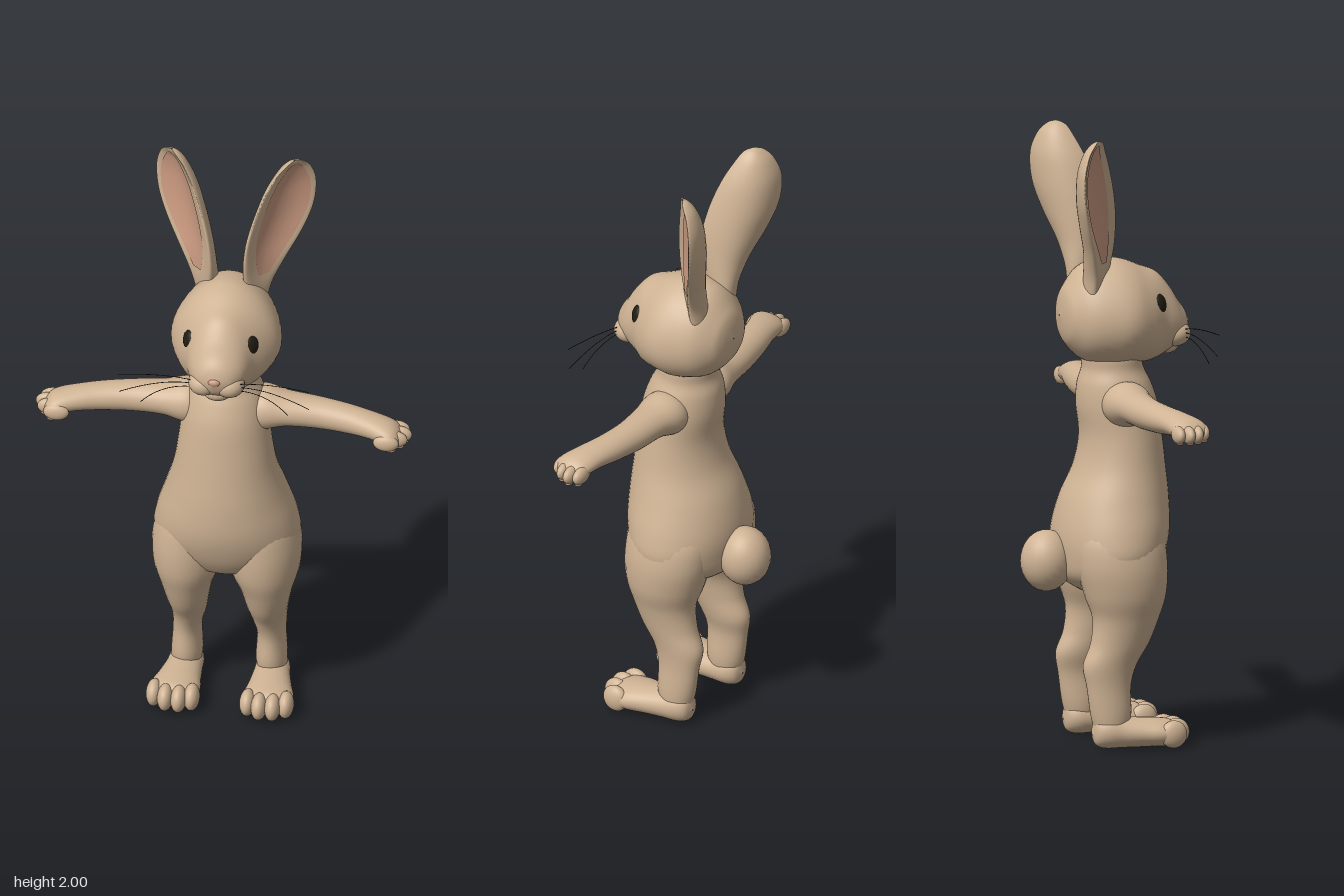
import * as THREE from 'three';

const mat = (name, color, side = THREE.FrontSide) => {
  const m = new THREE.MeshStandardMaterial({ color, side });
  m.name = name;
  return m;
};
const V = (x, y, z) => new THREE.Vector3(x, y, z);

// Grid surface from a rule fn(a, b), a and b in 0..1; a wraps round when closed
function surface(fn, na, nb, closed) {
  const pos = [], index = [], cols = closed ? na : na + 1;
  for (let i = 0; i <= nb; i++)
    for (let j = 0; j < cols; j++) pos.push(...fn(j / na, i / nb).toArray());
  for (let i = 0; i < nb; i++)
    for (let j = 0; j < na; j++) {
      const k = (j + 1) % cols;
      const a = i * cols + j, b = i * cols + k, c = b + cols, d = a + cols;
      index.push(a, b, c, a, c, d);
    }
  const g = new THREE.BufferGeometry();
  g.setAttribute('position', new THREE.Float32BufferAttribute(pos, 3));
  g.setIndex(index);
  g.computeVertexNormals();
  return g;
}

// Smoothly interpolated sections: rows of [x, y, z, radius along u, radius along v]
function sections(rows) {
  const centre = new THREE.CatmullRomCurve3(rows.map(r => V(r[0], r[1], r[2])), false, 'catmullrom');
  const radii = new THREE.CatmullRomCurve3(rows.map(r => V(r[3], r[4], 0)), false, 'catmullrom');
  return t => {
    const r = radii.getPoint(t);
    return { c: centre.getPoint(t), ru: Math.max(r.x, 0.0005), rv: Math.max(r.y, 0.0005) };
  };
}

// Elliptical loft; u x v must point along the path
function loft(rows, u, v, around = 32) {
  const at = sections(rows);
  return surface((a, b) => {
    const s = at(b), t = a * Math.PI * 2;
    return s.c.addScaledVector(u, s.ru * Math.cos(t)).addScaledVector(v, s.rv * Math.sin(t));
  }, around, rows.length * 5, true);
}

function ellipsoid(x, y, z, rx, ry, rz) {
  return new THREE.SphereGeometry(1, 24, 16).scale(rx, ry, rz).translate(x, y, z);
}

function mirrored(geo) {
  const g = geo.clone();
  const p = g.attributes.position, n = g.attributes.normal, ix = g.index;
  for (let i = 0; i < p.count; i++) { p.setX(i, -p.getX(i)); n.setX(i, -n.getX(i)); }
  for (let i = 0; i < ix.count; i += 3) {
    const a = ix.getX(i);
    ix.setX(i, ix.getX(i + 1));
    ix.setX(i + 1, a);
  }
  return g;
}

export function createModel() {
  const group = new THREE.Group();
  const fur = mat('fur', 0xcfb394);
  const pink = mat('inner ear pink', 0xcd9c82, THREE.DoubleSide);
  const dark = mat('eye dark', 0x1f1c10);
  const whiskerMat = mat('whisker', 0x2a241c);
  const X = V(1, 0, 0), Y = V(0, 1, 0), Z = V(0, 0, 1);

  const add = (name, geo, m) => {
    const mesh = new THREE.Mesh(geo, m);
    mesh.name = name;
    group.add(mesh);
  };
  const pair = (name, geo, m) => {
    add('left ' + name, geo, m);
    add('right ' + name, mirrored(geo), m);
  };

  // Torso and neck
  add('torso', loft([
    [0, 0.465, 0, 0.005, 0.005], [0, 0.5, 0.01, 0.1, 0.12], [0, 0.55, 0, 0.155, 0.2],
    [0, 0.62, 0.008, 0.178, 0.237], [0, 0.7, 0.017, 0.187, 0.228], [0, 0.8, 0.03, 0.175, 0.197],
    [0, 0.9, 0.048, 0.148, 0.168], [0, 1, 0.052, 0.133, 0.152], [0, 1.1, 0.04, 0.132, 0.14],
    [0, 1.17, 0.03, 0.119, 0.125], [0, 1.22, 0.025, 0.1, 0.106], [0, 1.28, 0.02, 0.09, 0.095],
    [0, 1.33, 0.02, 0.02, 0.02]], Z, X, 48), fur);
  add('tail', ellipsoid(0, 0.6, -0.2, 0.085, 0.1, 0.085), fur);

  // Head, wider at the cheeks than at the crown
  const head = loft([
    [0, 1.4, -0.156, 0.002, 0.002], [0, 1.4, -0.148, 0.06, 0.06], [0, 1.4, -0.13, 0.1, 0.1],
    [0, 1.405, -0.08, 0.15, 0.153], [0, 1.405, 0, 0.178, 0.174], [0, 1.403, 0.06, 0.178, 0.168],
    [0, 1.39, 0.12, 0.148, 0.157], [0, 1.386, 0.17, 0.113, 0.14], [0, 1.375, 0.21, 0.094, 0.107],
    [0, 1.36, 0.24, 0.075, 0.074], [0, 1.355, 0.265, 0.048, 0.044], [0, 1.352, 0.28, 0.002, 0.002],
  ], X, Y, 48);
  const hp = head.attributes.position;
  for (let i = 0; i < hp.count; i++) hp.setX(i, hp.getX(i) * (1 - 0.9 * (hp.getY(i) - 1.38)));
  head.computeVertexNormals();
  add('head', head, fur);
  pair('muzzle', ellipsoid(0.042, 1.325, 0.225, 0.05, 0.042, 0.05), fur);
  add('chin', ellipsoid(0, 1.285, 0.205, 0.05, 0.032, 0.045), fur);
  add('nose', ellipsoid(0, 1.358, 0.272, 0.02, 0.013, 0.013), pink);

  // Eyes, turned outwards
  const eye = new THREE.SphereGeometry(1, 24, 16).scale(0.03, 0.036, 0.018);
  eye.rotateX(-0.2).rotateY(0.85).translate(0.099, 1.432, 0.152);
  pair('eye', eye, dark);

  // Whiskers
  [[0.31, 1.36, 0.28], [0.31, 1.29, 0.275], [0.24, 1.255, 0.27]].forEach(([x, y, z], i) => {
    const curve = new THREE.QuadraticBezierCurve3(
      V(0.07, 1.34 - i * 0.012, 0.245), V(0.17, 1.365 - i * 0.02, 0.255), V(x, y, z));
    pair('whisker ' + (i + 1), new THREE.TubeGeometry(curve, 12, 0.0014, 4), whiskerMat);
  });

  // Cupped ears, opening forwards and outwards: radii are thickness, half width
  const earAt = sections([
    [0.075, 1.47, -0.065, 0.03, 0.04], [0.083, 1.54, -0.06, 0.034, 0.052],
    [0.098, 1.62, -0.062, 0.03, 0.08], [0.122, 1.71, -0.08, 0.026, 0.108],
    [0.148, 1.8, -0.1, 0.024, 0.116], [0.17, 1.89, -0.112, 0.021, 0.1],
    [0.186, 1.955, -0.11, 0.016, 0.066], [0.196, 1.988, -0.1, 0.011, 0.034],
    [0.2, 2, -0.095, 0.002, 0.002]]);
  const out = V(0.68, 0, 0.735), wide = V(0.735, 0, -0.68);
  const earPoint = (t, b, lift) => {
    const s = earAt(b), across = Math.sin(t);
    const bend = 0.4 * s.rv * (across * across - 0.4);
    return s.c.addScaledVector(out, s.ru * Math.cos(t) + bend + lift)
      .addScaledVector(wide, s.rv * across);
  };
  pair('ear', surface((a, b) => earPoint(a * Math.PI * 2, b, 0), 40, 48, true), fur);
  pair('inner ear', surface((a, b) => {
    const k = Math.pow(Math.sin(Math.PI * (0.04 + 0.92 * b)), 0.45);
    return earPoint(Math.asin(k * (-0.66 + 1.48 * a)), 0.19 + 0.66 * b, 0.003);
  }, 20, 30, false), pink);

  // Arms with four fingers and a pad under each paw
  pair('arm', loft([
    [0.05, 1.11, 0.03, 0.05, 0.06], [0.12, 1.117, 0.03, 0.074, 0.08], [0.2, 1.12, 0.034, 0.056, 0.066],
    [0.3, 1.117, 0.037, 0.051, 0.056], [0.4, 1.115, 0.053, 0.046, 0.053],
    [0.48, 1.113, 0.075, 0.04, 0.055], [0.54, 1.105, 0.092, 0.036, 0.06],
    [0.57, 1.097, 0.095, 0.026, 0.048], [0.59, 1.09, 0.095, 0.002, 0.002]], Y, Z), fur);
  [[0.56, 0.05], [0.572, 0.08], [0.562, 0.111], [0.538, 0.14]].forEach(([x, z], i) => {
    pair('finger ' + (i + 1), ellipsoid(x, 1.092, z, 0.042, 0.029, 0.02), fur);
    pair('finger pad ' + (i + 1), ellipsoid(x + 0.015, 1.066, z, 0.015, 0.005, 0.011), pink);
  });
  pair('paw pad', ellipsoid(0.525, 1.07, 0.09, 0.022, 0.005, 0.03), pink);

  // Legs
  pair('leg', loft([
    [0.142, 0.02, -0.03, 0.04, 0.04], [0.138, 0.1, -0.029, 0.066, 0.051],
    [0.137, 0.2, -0.036, 0.074, 0.047], [0.131, 0.27, -0.03, 0.09, 0.057],
    [0.13, 0.34, 0.004, 0.098, 0.069], [0.13, 0.42, 0.024, 0.11, 0.086],
    [0.125, 0.5, 0.024, 0.135, 0.113], [0.12, 0.6, 0.015, 0.15, 0.122],
    [0.11, 0.7, 0.01, 0.14, 0.105], [0.08, 0.8, 0.01, 0.08, 0.06],
    [0.07, 0.83, 0.01, 0.002, 0.002]], Z, X), fur);

  // Feet with four toes, flattened on the ground
  pair('foot', loft([
    [0.14, 0.05, -0.093, 0.002, 0.002], [0.14, 0.053, -0.082, 0.035, 0.04],
    [0.14, 0.054, -0.05, 0.054, 0.054], [0.143, 0.05, 0, 0.06, 0.05],
    [0.148, 0.048, 0.06, 0.07, 0.048], [0.153, 0.046, 0.12, 0.081, 0.046],
    [0.155, 0.042, 0.17, 0.07, 0.04], [0.155, 0.04, 0.2, 0.002, 0.002]], X, Y), fur);
  [[0.091, 0.165], [0.131, 0.182], [0.175, 0.18], [0.215, 0.158]].forEach(([x, z], i) =>
    pair('toe ' + (i + 1), ellipsoid(x, 0.045, z, 0.026, 0.045, 0.045), fur));

  return group;
}
